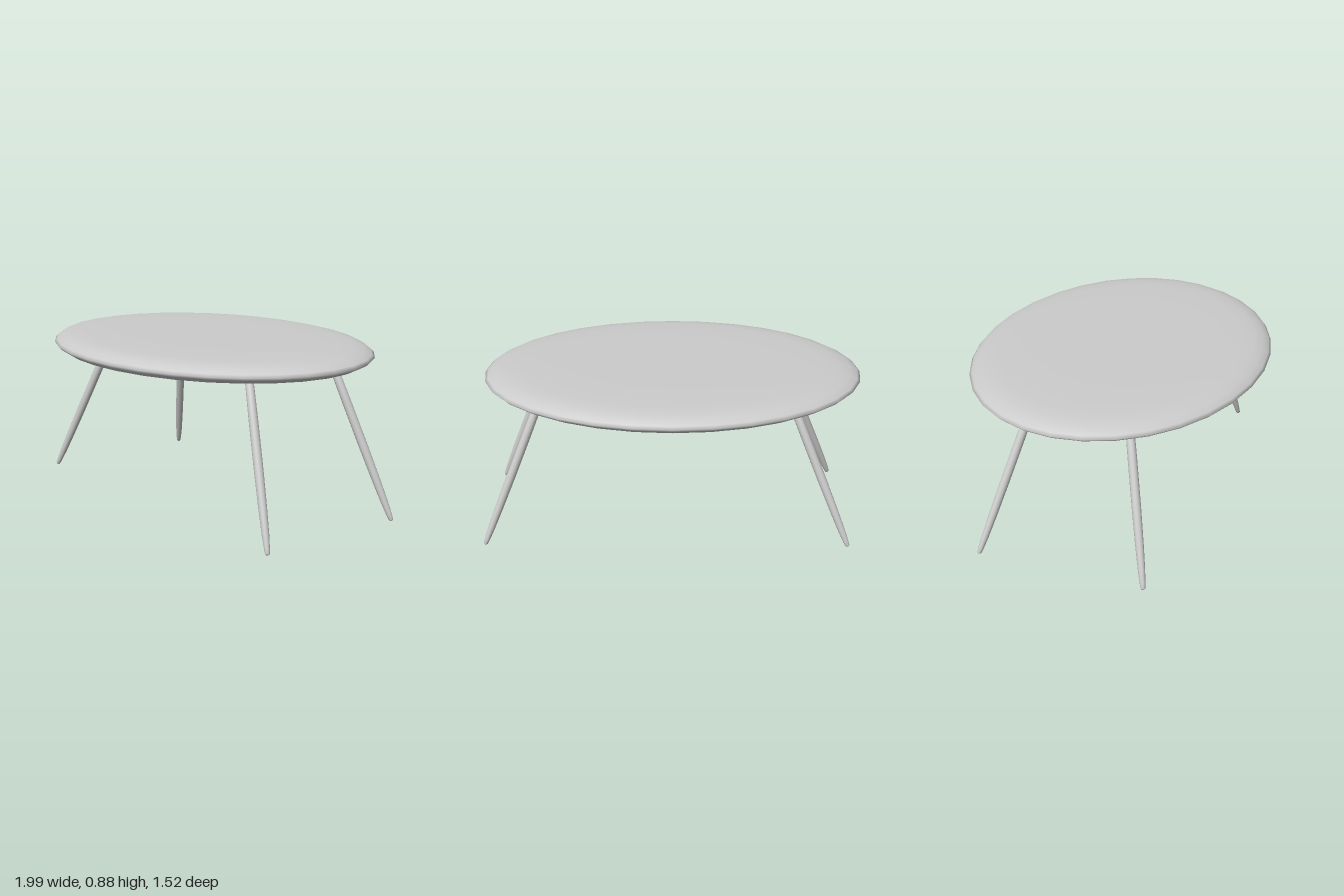
import * as THREE from 'three';

const material = new THREE.MeshStandardMaterial({ color: 0xcccccc });
const points = (list) => list.map(([r, y]) => new THREE.Vector2(r, y));

// Thin oval top with a softly rounded rim
function makeTop() {
  const profile = points([
    [0, -0.057], [0.45, -0.057], [0.65, -0.055], [0.8, -0.051], [0.88, -0.045], [0.94, -0.034],
    [0.98, -0.014], [0.995, 0], [0.98, 0.014], [0.94, 0.034], [0.88, 0.045], [0.8, 0.051],
    [0.65, 0.055], [0.45, 0.057], [0, 0.057],
  ]);
  const geometry = new THREE.LatheGeometry(profile, 32);
  geometry.scale(1, 1, 0.765);
  const top = new THREE.Mesh(geometry, material);
  top.name = 'tableTop';
  top.position.set(-0.003, 0.822, -0.002);
  return top;
}

// Slim round leg with a tapered, rounded foot, running from foot to head
function makeLeg(name, foot, head) {
  const axis = head.clone().sub(foot);
  const length = axis.length();
  const profile = points([
    [0, 0], [0.007, 0.001], [0.011, 0.006], [0.014, 0.03], [0.018, 0.1], [0.021, 0.22],
    [0.023, 0.4], [0.023, 0.65], [0.021, length - 0.01], [0, length],
  ]);
  const leg = new THREE.Mesh(new THREE.LatheGeometry(profile, 16), material);
  leg.name = name;
  leg.position.copy(foot);
  leg.quaternion.setFromUnitVectors(new THREE.Vector3(0, 1, 0), axis.normalize());
  return leg;
}

export function createModel() {
  const group = new THREE.Group();
  group.name = 'ovalTable';
  group.add(makeTop());

  // The left pair stands slightly further out than the right pair
  const pairs = [
    { side: 'Left', footX: 0.987, headX: 0.672, footZ: 0.41, headZ: 0.272, footY: 0.004 },
    { side: 'Right', footX: -0.925, headX: -0.605, footZ: 0.442, headZ: 0.246, footY: 0.01 },
  ];
  for (const p of pairs) {
    for (const [end, s] of [['front', 1], ['back', -1]]) {
      const foot = new THREE.Vector3(p.footX, p.footY, s * p.footZ - 0.01);
      const head = new THREE.Vector3(p.headX, 0.785, s * p.headZ - 0.005);
      group.add(makeLeg(end + p.side + 'Leg', foot, head));
    }
  }
  return group;
}
